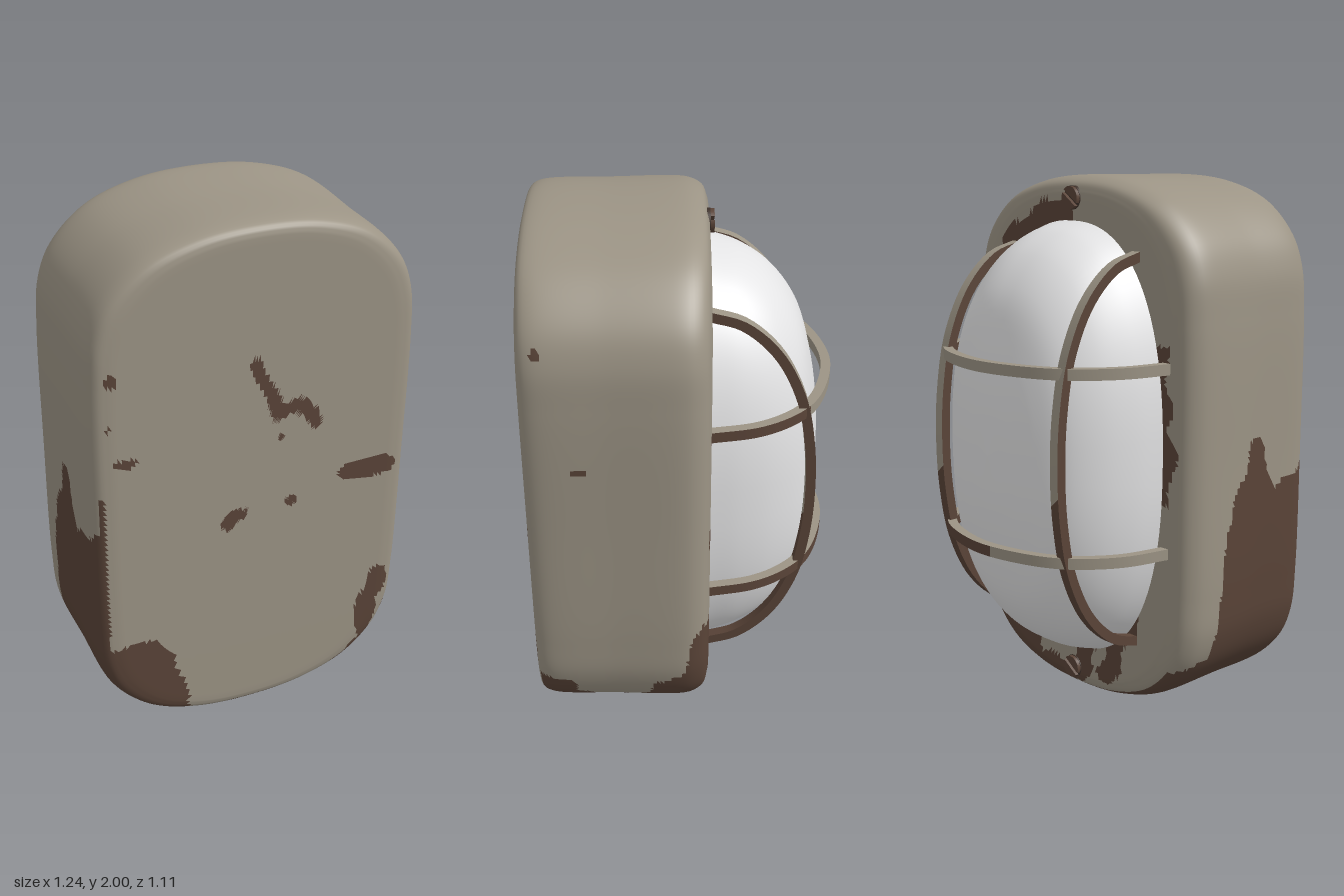
import * as THREE from 'three';
import { toCreasedNormals } from 'three/addons/utils/BufferGeometryUtils.js';

const V2 = (x, y) => new THREE.Vector2(x, y);
const V3 = (x, y, z) => new THREE.Vector3(x, y, z);
const curve = (pts, closed = false) =>
  new THREE.CatmullRomCurve3(pts.map(([a, b]) => V3(a, b, 0)), closed, 'centripetal');

// Linear look-up in a list of [key, value] pairs with rising keys
function lookUp(table, k) {
  if (k <= table[0][0]) return table[0][1];
  for (let i = 1; i < table.length; i++) {
    const [a, va] = table[i - 1], [b, vb] = table[i];
    if (k <= b) return va + (vb - va) * (k - a) / (b - a);
  }
  return table[table.length - 1][1];
}

// Surface through scaled copies of one outline; rings are [scaleX, scaleY, z], front to back
function loft(outline, rings) {
  const n = outline.length, pos = [], idx = [];
  for (const [sx, sy, z] of rings) for (const p of outline) pos.push(p.x * sx, p.y * sy + 1, z);
  for (let i = 0; i < rings.length - 1; i++) {
    for (let j = 0; j < n; j++) {
      const k = (j + 1) % n;
      const a = i * n + j, b = i * n + k, c = a + n, d = b + n;
      idx.push(a, c, b, b, c, d);
    }
  }
  const geo = new THREE.BufferGeometry();
  geo.setAttribute('position', new THREE.Float32BufferAttribute(pos, 3));
  geo.setIndex(idx);
  geo.computeVertexNormals();
  return geo;
}

// Sort triangles into material group 0 (paint) or 1 (rust)
function splitFaces(geo, isRust) {
  const pos = geo.attributes.position, index = geo.index;
  const count = index ? index.count : pos.count;
  const buckets = [[], []], tri = new THREE.Triangle(), mid = V3(), nor = V3();
  for (let i = 0; i < count; i += 3) {
    const ids = [0, 1, 2].map(k => (index ? index.getX(i + k) : i + k));
    tri.setFromAttributeAndIndices(pos, ...ids);
    tri.getMidpoint(mid);
    tri.getNormal(nor);
    buckets[isRust(mid, nor) ? 1 : 0].push(...ids);
  }
  geo.setIndex(buckets[0].concat(buckets[1]));
  geo.clearGroups();
  geo.addGroup(0, buckets[0].length, 0);
  geo.addGroup(buckets[0].length, buckets[1].length, 1);
  return geo;
}

// Rust on the front: [x, y, radiusX, radiusY]
const spots = [
  [-0.535, 1.53, 0.022, 0.026], [-0.545, 1.355, 0.012, 0.012], [-0.485, 1.21, 0.04, 0.02],
  [0.45, 0.98, 0.115, 0.045], [-0.11, 0.87, 0.025, 0.03], [-0.075, 0.9, 0.04, 0.025],
  [0.135, 0.91, 0.026, 0.026], [0.09, 1.19, 0.012, 0.012],
  [0.52, 0.43, 0.045, 0.07], [0.48, 0.3, 0.045, 0.14],
];
const scratch = [[-0.01, 1.49], [0.02, 1.42], [0.08, 1.28], [0.14, 1.31], [0.2, 1.26], [0.225, 1.22]];
// Height of the rust line on each flank, by z
const leftLine = [[-0.1, 0.58], [-0.04, 0.5], [0, 0.33], [0.1, 0.28], [0.15, 0.19], [0.3, 0.14],
  [0.42, 0.27], [0.5, 0.32], [0.55, 0.3]];
const rightLine = [[-0.08, 0.2], [0.05, 0.22], [0.1, 0.75], [0.22, 1.02], [0.28, 1.05], [0.36, 0.85], [0.55, 0.95]];

function nearScratch(x, y) {
  const p = V3(x, y, 0), hit = V3();
  return scratch.slice(1).some(([bx, by], i) => {
    const [ax, ay] = scratch[i];
    new THREE.Line3(V3(ax, ay, 0), V3(bx, by, 0)).closestPointToPoint(p, true, hit);
    return hit.distanceTo(p) < 0.026;
  });
}

function bodyRust(p, n) {
  const w = 0.02 * Math.sin(31 * p.y + 9 * p.x) + 0.015 * Math.sin(47 * p.z + 38 * p.x + 13 * p.y);
  const { x, y, z } = p;
  if (n.z > 0.75) {
    if (nearScratch(x + w * 0.3, y)) return true;
    if (spots.some(([cx, cy, rx, ry]) => ((x - cx) / rx) ** 2 + ((y - cy) / ry) ** 2 < 1 + 9 * w)) return true;
    if (x < -0.565 && y < 1.08 && y > 0.3) return true;
    const corner = lookUp([[-0.6, 0.38], [-0.54, 0.42], [-0.39, 0.43], [-0.33, 0.34], [-0.27, 0.2], [-0.26, 0]], x);
    if (x < -0.26 && y < corner + w) return true;
    return x > 0.2 && y < 0.12 + 0.75 * (x - 0.4) + w;
  }
  if (n.z < -0.75) {
    // ring around the glass, and the low corner
    const r = (Math.abs(x) / 0.485) ** 2.4 + (Math.abs(y - 1.01) / 0.83) ** 2.4;
    if (x > 0.02 && y > 1.5) return r < 1.3 + 5 * w;
    if (x > 0.2 && y < 0.58 + 2 * w) return true;
    if (x > 0) return y < 0.12 + w || (y > 0.4 && r < 1.12 + 5 * w);
    if (y > 0.85 && y < 1.42) return r < 1.2 + 5 * w;
    return y < 0.4 && x > -0.36 && r < 1.25 + 9 * w;
  }
  if (x > 0) {
    if (Math.hypot(z - 0.48, y - 1.71) < 0.018 || Math.hypot((z - 0.355) / 2, y - 1.275) < 0.015) return true;
    return y < lookUp(leftLine, z) + w;
  }
  return y < lookUp(rightLine, z) + w;
}

// Flat curved bar lying in the XY plane, centred on its thickness
function barGeometry(quarter) {
  const mirrored = quarter.slice(0, -1).reverse().map(([a, b]) => [-a, b]);
  const path = curve([...quarter, ...mirrored]);
  const outer = [], inner = [];
  for (let i = 0; i <= 56; i++) {
    const p = path.getPointAt(i / 56), t = path.getTangentAt(i / 56);
    outer.push(V2(p.x, p.y));
    inner.push(V2(p.x - t.y * 0.036, p.y + t.x * 0.036));
  }
  const geo = new THREE.ExtrudeGeometry(new THREE.Shape([...outer, ...inner.reverse()]),
    { depth: 0.04, bevelEnabled: false });
  geo.translate(0, 0, -0.02);
  return toCreasedNormals(geo, 0.6);
}

export function createModel() {
  const mat = (name, color) => new THREE.MeshStandardMaterial({ name, color });
  const paint = mat('taupePaint', 0x9c9485), rust = mat('rust', 0x5a4438);
  const glass = mat('whiteGlass', 0xe4e4e5), dark = mat('darkScrew', 0x3f322b);
  const model = new THREE.Group();
  model.name = 'bulkheadLamp';
  const add = (name, geo, material, parent = model) => {
    const mesh = new THREE.Mesh(geo, material);
    mesh.name = name;
    parent.add(mesh);
    return mesh;
  };

  // Housing: rounded outline lofted from front cap to back cap
  const q = [[0.618, 0], [0.615, 0.5], [0.6, 0.67], [0.55, 0.79], [0.42, 0.912], [0.23, 0.98], [0, 1]];
  const half = [...q, ...q.slice(0, -1).reverse().map(([x, y]) => [-x, y])];
  const loop = [...half, ...half.slice(1, -1).reverse().map(([x, y]) => [x, -y])];
  const outline = curve(loop, true).getSpacedPoints(260).slice(0, -1);
  const profile = curve([[0.085, 0.55], [0.035, 0.538], [0.013, 0.5], [0.004, 0.25], [0, 0],
    [0.012, -0.045], [0.042, -0.082], [0.105, -0.1]]).getSpacedPoints(56)
    .map(p => [1 - p.x / 0.618, 1 - 0.6 * p.x, p.y]);
  const cap = ([sx, sy, z]) => Array.from({ length: 34 }, (_, i) => [sx * i / 34, sy * i / 34, z]);
  const rings = [...cap(profile[0]), ...profile, ...cap(profile[profile.length - 1]).reverse()];
  add('housing', splitFaces(loft(outline, rings), bodyRust), [paint, rust]);

  // Glass dome
  const oval = Array.from({ length: 96 }, (_, i) => {
    const a = i / 96 * Math.PI * 2, c = Math.cos(a), s = Math.sin(a), e = 2 / 2.4;
    return V2(0.485 * Math.sign(c) * Math.abs(c) ** e, 0.83 * Math.sign(s) * Math.abs(s) ** e);
  });
  const domeRings = curve([[1, -0.09], [0.95, -0.21], [0.86, -0.32], [0.7, -0.42], [0.48, -0.477],
    [0.25, -0.506], [0, -0.515]]).getPoints(36).map(p => [p.x, p.x, p.y]);
  add('glassDome', loft(oval, domeRings).translate(0, 0.01, 0), glass);

  // Guard cage: two crosswise and two upright bars
  const cage = new THREE.Group();
  cage.name = 'guardCage';
  model.add(cage);
  const across = [[0.515, 0.095], [0.48, 0.26], [0.42, 0.37], [0.33, 0.46], [0.2, 0.52], [0, 0.555]];
  const upright = [[0.735, 0.095], [0.695, 0.22], [0.58, 0.345], [0.4, 0.435], [0.2, 0.475], [0, 0.486]];
  for (const y of [0.67, 1.345]) {
    const geo = barGeometry(across).rotateX(-Math.PI / 2).translate(0, y, 0);
    add('crossBar', splitFaces(geo, (p, n) =>
      n.y < -0.5 || (n.y < 0.5 && p.x > (y < 1 ? -0.05 : 0.34))), [paint, rust], cage);
  }
  const stand = new THREE.Matrix4().makeBasis(V3(0, 1, 0), V3(0, 0, -1), V3(-1, 0, 0));
  for (const x of [-0.337, 0.337]) {
    const geo = barGeometry(upright).applyMatrix4(stand).translate(x, 1.01, 0);
    add('uprightBar', splitFaces(geo, (p, n) => Math.abs(n.x) > 0.5 || p.y < 0.9), [paint, rust], cage);
  }

  // Slotted screws above and below the glass
  for (const y of [0.09, 1.92]) {
    const screw = new THREE.Group();
    screw.name = 'screw';
    screw.position.set(0, y, -0.098);
    screw.rotation.z = 0.6;
    add('screwBase', new THREE.CylinderGeometry(0.044, 0.044, 0.012, 24).rotateX(Math.PI / 2), dark, screw);
    for (const side of [0, Math.PI]) {
      const shape = new THREE.Shape().absarc(0, 0, 0.042, 0.16, Math.PI - 0.16, false);
      const geo = new THREE.ExtrudeGeometry(shape, { depth: 0.018, bevelEnabled: false });
      add('screwHead', geo.rotateZ(side).translate(0, 0, -0.02), rust, screw);
    }
    model.add(screw);
  }
  return model;
}
